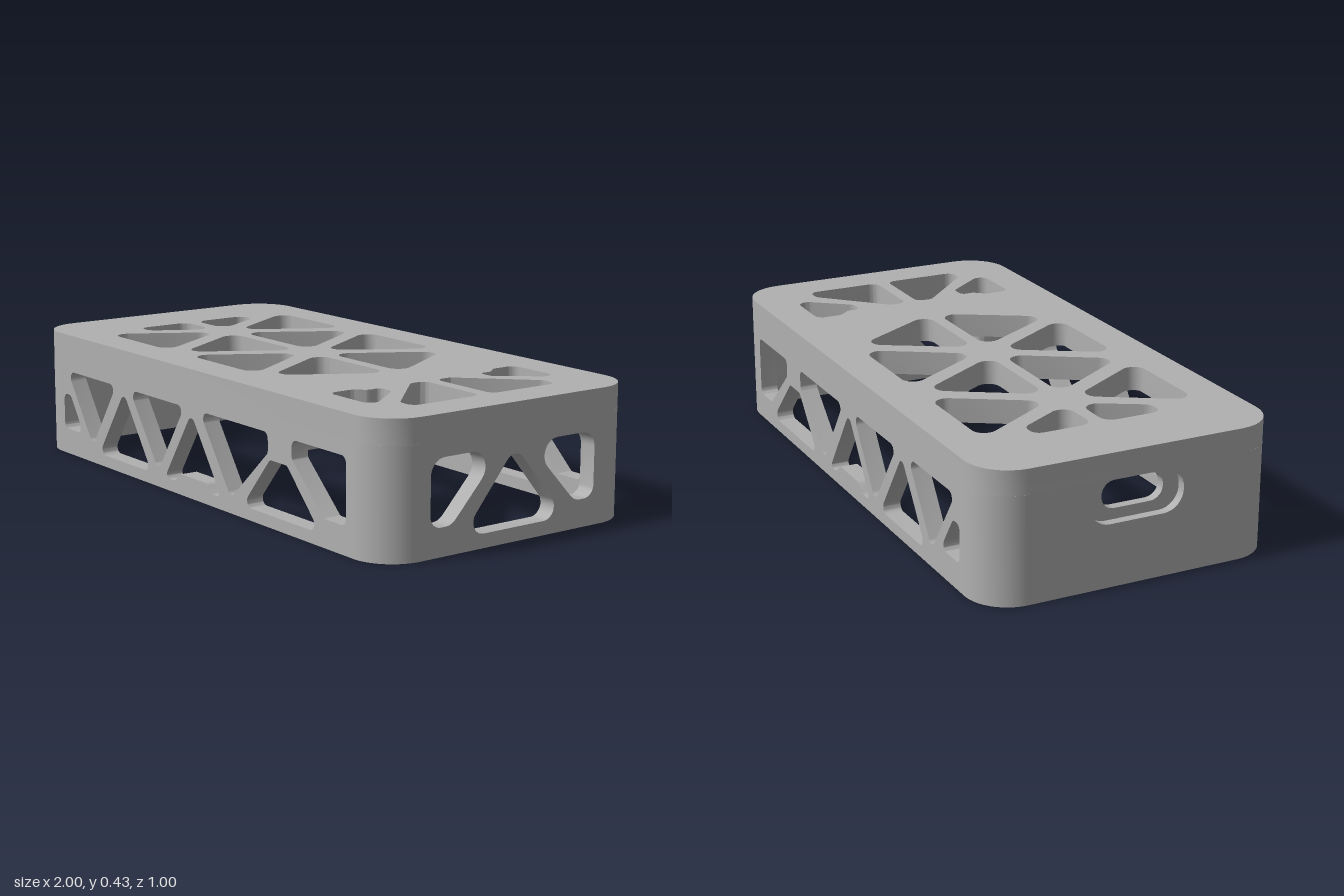
import * as THREE from 'three';
import { toCreasedNormals } from 'three/addons/utils/BufferGeometryUtils.js';

const H = 0.43, TOP = 0.08, WALL = 0.06, R = 0.14;
const WALL_H = H - TOP;

// Closed outline through sharp corners, each rounded with radius r
function rounded(corners, r, Type = THREE.Path) {
  const p = corners.map(([x, y]) => new THREE.Vector2(x, y));
  const pts = [];
  p.forEach((c, i) => {
    const a = p[(i + p.length - 1) % p.length].clone().sub(c);
    const b = p[(i + 1) % p.length].clone().sub(c);
    const limit = 0.48 * Math.min(a.length(), b.length());
    a.normalize();
    b.normalize();
    const half = Math.acos(THREE.MathUtils.clamp(a.dot(b), -1, 1)) / 2;
    const tangent = Math.min(r / Math.tan(half), limit);
    const radius = tangent * Math.tan(half);
    const centre = a.clone().add(b).normalize().multiplyScalar(radius / Math.sin(half)).add(c);
    const from = a.multiplyScalar(tangent).add(c).sub(centre);
    const to = b.multiplyScalar(tangent).add(c).sub(centre);
    const turn = Math.atan2(from.cross(to), from.dot(to));
    for (let k = 0; k <= 8; k++) {
      pts.push(from.clone().rotateAround(new THREE.Vector2(), turn * k / 8).add(centre));
    }
  });
  return new Type(pts);
}

const rect = (x0, y0, x1, y1) => [[x0, y0], [x1, y0], [x1, y1], [x0, y1]];
const mirrorX = (pts) => pts.map(([x, y]) => [-x, y]);
const mirrorY = (pts) => pts.map(([x, y]) => [x, -y]);

function extrude(shape, depth) {
  const g = new THREE.ExtrudeGeometry(shape, { depth, bevelEnabled: false, curveSegments: 12 });
  return toCreasedNormals(g, 0.6);
}

function panel(outline, holes, depth) {
  const shape = new THREE.Shape(outline.map(([x, y]) => new THREE.Vector2(x, y)));
  shape.holes.push(...holes);
  return extrude(shape, depth);
}

// Truss openings of the long walls (x, y)
const sideHoles = [
  [[-0.83, 0.09], [-0.72, 0.09], [-0.72, 0.12], [-0.785, 0.215], [-0.83, 0.215]],
  [[-0.80, 0.30], [-0.47, 0.30], [-0.635, 0.06]],
  [[-0.59, 0.04], [-0.25, 0.04], [-0.42, 0.285]],
  [[-0.38, 0.30], [-0.04, 0.30], [-0.205, 0.055]],
  [[-0.165, 0.04], [-0.105, 0.04], [-0.07, 0.07], [0.085, 0.07], [0.12, 0.04], [0.17, 0.04], [0, 0.285]],
  [[0.05, 0.30], [0.43, 0.30], [0.43, 0.235], [0.225, 0.05]],
  [[0.29, 0.04], [0.70, 0.04], [0.53, 0.215], [0.44, 0.215]],
  [[0.555, 0.30], [0.825, 0.30], [0.825, 0.09], [0.72, 0.09], [0.555, 0.24]],
];

// Truss openings of the lid, one half (x, z)
const lidHoles = [
  { r: 0.04, pts: [[-0.725, -0.373], [-0.335, -0.373], [-0.53, -0.05]] },
  { r: 0.04, pts: [[-0.475, -0.022], [-0.07, -0.022], [-0.273, -0.35]] },
  { r: 0.04, pts: [[-0.215, -0.373], [0.18, -0.373], [-0.02, -0.05]] },
  { r: 0.04, pts: [[0.04, -0.022], [0.43, -0.022], [0.235, -0.35]] },
  { r: 0.04, pts: [[-0.765, -0.022], [-0.585, -0.022], [-0.70, -0.22], [-0.765, -0.22]] },
  { r: 0.03, pts: [[0.57, -0.373], [0.795, -0.373], [0.66, -0.20], [0.60, -0.20], [0.605, -0.245], [0.57, -0.285]] },
  { r: 0.03, pts: [[0.60, -0.022], [0.865, -0.022], [0.865, -0.285], [0.805, -0.285], [0.60, -0.08]] },
];

export function createModel() {
  const model = new THREE.Group();
  model.name = 'ventilatedCase';
  const grey = new THREE.MeshStandardMaterial({ color: 0xb0b0b0 });
  grey.name = 'grey plastic';

  const add = (name, geometry, x = 0, y = 0, z = 0) => {
    const mesh = new THREE.Mesh(geometry, grey);
    mesh.name = name;
    mesh.position.set(x, y, z);
    model.add(mesh);
    return mesh;
  };

  // Lid with truss openings mirrored front to back
  const lid = rounded(rect(-1, -0.5, 1, 0.5), R, THREE.Shape);
  for (const { r, pts } of lidHoles) {
    lid.holes.push(rounded(pts, r), rounded(mirrorY(pts), r));
  }
  add('lid', extrude(lid, TOP).rotateX(-Math.PI / 2), 0, WALL_H, 0);

  // Long walls
  const side = panel(rect(-1 + R, 0, 1 - R, WALL_H), sideHoles.map((h) => rounded(h, 0.022)), WALL);
  add('frontWall', side, 0, 0, 0.5 - WALL);
  add('backWall', side, 0, 0, -0.5);

  // Right end wall with three openings
  const endOutline = rect(-0.5 + R, 0, 0.5 - R, WALL_H);
  const corner = [[0.325, 0.30], [0.05, 0.30], [0.245, 0.09], [0.325, 0.09]];
  const endHoles = [
    rounded(corner, 0.052),
    rounded(mirrorX(corner), 0.052),
    rounded([[-0.206, 0.045], [0.206, 0.045], [0, 0.295]], 0.04),
  ];
  add('rightWall', panel(endOutline, endHoles, WALL).rotateY(Math.PI / 2), 1 - WALL);

  // Left end wall with a recessed cable port
  const layer = WALL / 2;
  const recess = rounded(rect(-0.16, 0.205, 0.16, 0.345), 0.069);
  const port = rounded(rect(-0.105, 0.24, 0.105, 0.33), 0.044);
  add('leftWallOuter', panel(endOutline, [recess], layer).rotateY(Math.PI / 2), -1);
  add('leftWallInner', panel(endOutline, [port], layer).rotateY(Math.PI / 2), -1 + layer);

  // Rounded corner posts
  const arc = new THREE.Shape();
  arc.absarc(0, 0, R, 0, Math.PI / 2, false);
  arc.absarc(0, 0, R - WALL, Math.PI / 2, 0, true);
  const post = extrude(arc, WALL_H).rotateX(-Math.PI / 2);
  [[1, -1], [-1, -1], [-1, 1], [1, 1]].forEach(([sx, sz], i) => {
    add('cornerPost', post, sx * (1 - R), 0, sz * (0.5 - R)).rotation.y = i * Math.PI / 2;
  });

  // Screw bosses, each joined to its long wall by a rib
  const boss = new THREE.Shape();
  boss.moveTo(-0.04, -0.22);
  boss.lineTo(0.04, -0.22);
  boss.lineTo(0.04, 0);
  boss.absarc(0, 0, 0.04, 0, Math.PI, false);
  boss.closePath();
  boss.holes.push(new THREE.Path().absarc(0, 0, 0.018, 0, Math.PI * 2, true));
  const bossGeometry = extrude(boss, WALL_H - 0.255).rotateX(-Math.PI / 2);
  for (const x of [-0.82, 0.5]) {
    for (const s of [1, -1]) {
      add('screwBoss', bossGeometry, x, 0.255, s * 0.23).rotation.y = s > 0 ? 0 : Math.PI;
    }
  }
  return model;
}
